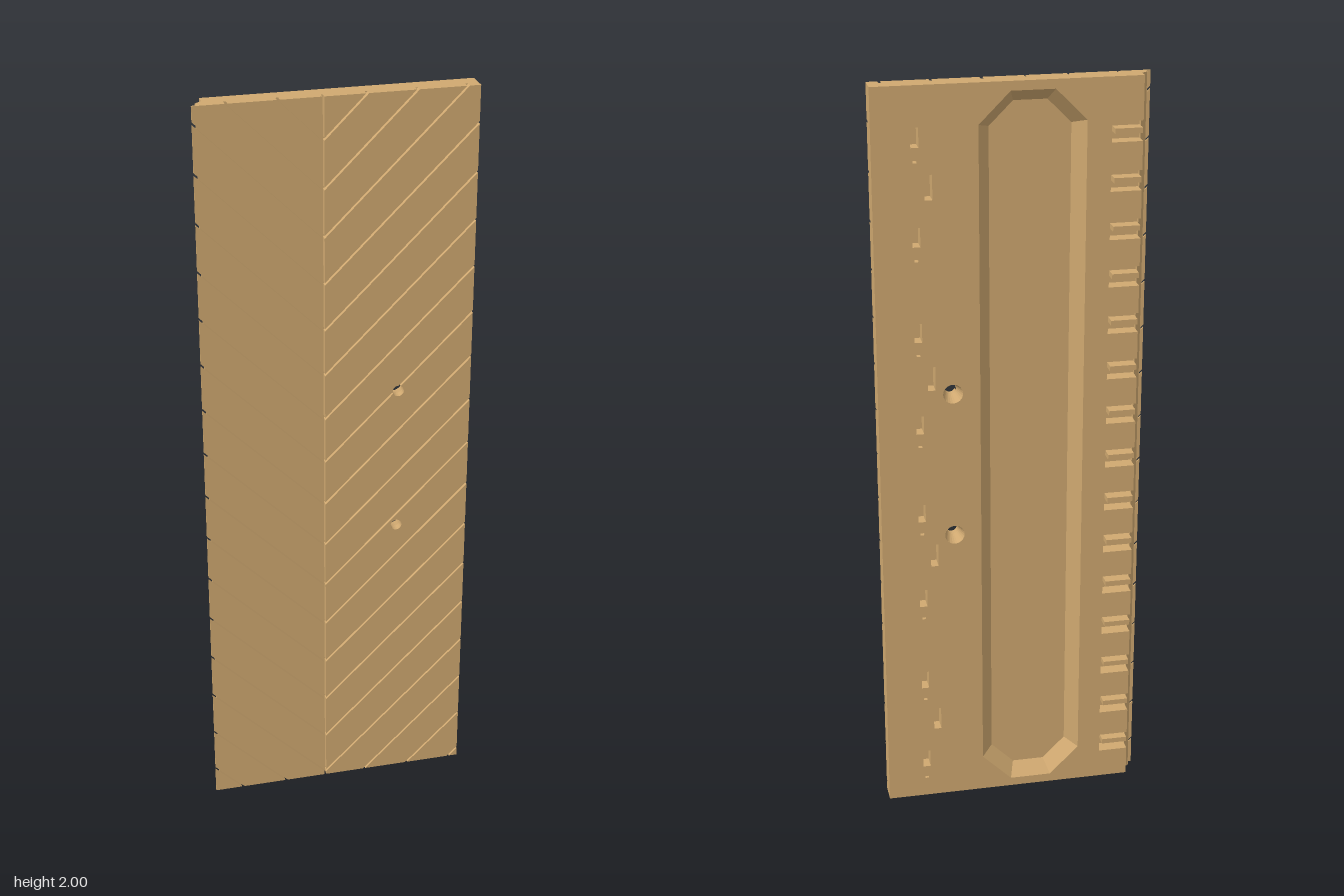
import * as THREE from 'three';

const HW = 0.354, H = 2, MID = -0.037;      // half width, height, centre groove
const PITCH = 0.1253, TOP = 1.891;          // chevron spacing and highest meeting point
const Z_BACK = -0.03, Z_FLOOR = 0.008, Z_GROOVE = 0.011, Z_LIP = 0.024, Z_FRONT = 0.028;
const SCREWS = [[0.16, 1.2], [0.16, 0.8]], SCREW_R = 0.015;

const rect = (x0, y0, x1, y1) => [[x0, y0], [x1, y0], [x1, y1], [x0, y1]];
const circle = (cx, cy, r, n = 24) => Array.from({ length: n }, (_, i) => {
  const a = (i / n) * Math.PI * 2;
  return [cx + r * Math.cos(a), cy + r * Math.sin(a)];
});
const octagon = (cx, cy, hw, hh, c) => [
  [hw, -hh + c], [hw, hh - c], [hw - c, hh], [c - hw, hh],
  [-hw, hh - c], [-hw, c - hh], [c - hw, -hh], [hw - c, -hh],
].map(([x, y]) => [cx + x, cy + y]);
const toVec = (pts) => pts.map(([x, y]) => new THREE.Vector2(x, y));

// Flat plate between two depths, with optional holes
function plate(outline, z0, z1, holes = []) {
  const shape = new THREE.Shape(toVec(outline));
  shape.holes = holes.map((h) => new THREE.Path(toVec(h)));
  return new THREE.ExtrudeGeometry(shape, { depth: z1 - z0, bevelEnabled: false }).translate(0, 0, z0);
}

// Inward-facing sloping wall between a loop at the back and a loop further in
function funnel(outer, inner, z0, z1) {
  const pos = [];
  outer.forEach((a, i) => {
    const j = (i + 1) % outer.length;
    const b = outer[j], c = inner[i], d = inner[j];
    pos.push(...a, z0, ...c, z1, ...b, z0, ...b, z0, ...c, z1, ...d, z1);
  });
  const g = new THREE.BufferGeometry();
  g.setAttribute('position', new THREE.Float32BufferAttribute(pos, 3));
  g.computeVertexNormals();
  return g;
}

// Keep the part of a polygon where f >= 0
function clip(poly, f) {
  const out = [];
  poly.forEach((p, i) => {
    const q = poly[(i + 1) % poly.length], a = f(p), b = f(q);
    if (a >= 0) out.push(p);
    if ((a >= 0) !== (b >= 0)) {
      const t = a / (a - b);
      out.push([p[0] + (q[0] - p[0]) * t, p[1] + (q[1] - p[1]) * t]);
    }
  });
  return out;
}

// Cut a round hole from a counter-clockwise polygon, even where it crosses an edge
function drill(poly, [cx, cy], r, holes) {
  const out = [];
  let inside = true;
  poly.forEach((p, i) => {
    const q = poly[(i + 1) % poly.length];
    const len = Math.hypot(q[0] - p[0], q[1] - p[1]);
    out.push(p);
    if (len < 1e-6) return;
    const ux = (q[0] - p[0]) / len, uy = (q[1] - p[1]) / len;
    const along = (cx - p[0]) * ux + (cy - p[1]) * uy;
    const dist = ux * (cy - p[1]) - uy * (cx - p[0]);
    if (dist < r) inside = false;
    if (Math.abs(dist) >= r) return;
    const h = Math.sqrt(r * r - dist * dist);
    if (along - h <= 0 || along + h >= len) return;
    const theta = Math.atan2(uy, ux);
    const a1 = theta + Math.atan2(-dist, -h);
    let a2 = theta + Math.atan2(-dist, h);
    while (a2 > a1) a2 -= Math.PI * 2;
    for (let k = 0; k <= 12; k++) {
      const a = a1 + (a2 - a1) * (k / 12);
      out.push([cx + r * Math.cos(a), cy + r * Math.sin(a)]);
    }
  });
  if (inside) holes.push(circle(cx, cy, r));
  return out;
}

export function createModel() {
  const model = new THREE.Group();
  model.name = 'chevronPanel';
  const wood = new THREE.MeshStandardMaterial({ color: 0xcfa870 });
  wood.name = 'light wood';
  const add = (name, geometry, parent = model) => {
    const m = new THREE.Mesh(geometry, wood);
    m.name = name;
    parent.add(m);
    return m;
  };

  // Pocket and countersinks in the back
  const pocketOuter = octagon(-0.047, 1, 0.136, 0.976, 0.08);
  const pocketInner = octagon(-0.047, 1, 0.104, 0.944, 0.061);
  const backHoles = [pocketOuter];
  add('pocketWall', funnel(pocketOuter, pocketInner, Z_BACK, Z_FLOOR));
  for (const [x, y] of SCREWS) {
    backHoles.push(circle(x, y, 0.026));
    add('countersink', funnel(circle(x, y, 0.026), circle(x, y, SCREW_R), Z_BACK, Z_FLOOR));
  }

  // Small slots along the other edge of the back
  const slot = (x, y, w, h) => backHoles.push(rect(x - w / 2, y - h / 2, x + w / 2, y + h / 2));
  for (let i = 0; i < 8; i++) {
    const y = 1.872 - i * 2 * PITCH;
    slot(0.247, y, 0.02, 0.05);
    slot(0.247, y - 0.06, 0.01, 0.006);
    if (i % 2 === 0) slot(0.215, y - PITCH, 0.02, 0.064);
  }

  // Back slab with clip notches open to the side
  const outline = [[HW, 0], [HW, H], [-0.325, H]];
  const ribs = new THREE.Group();
  ribs.name = 'notchRibs';
  model.add(ribs);
  for (let i = 0; i < 15; i++) {
    const y = 1.862 - i * PITCH;
    outline.push([-0.325, y + 0.026], [-0.245, y + 0.026], [-0.245, y - 0.026], [-0.325, y - 0.026]);
    add('notchRib', new THREE.BoxGeometry(0.07, 0.014, 0.033), ribs).position.set(-0.29, y, -0.0085);
  }
  outline.push([-0.325, 0]);
  add('backSlab', plate(outline, Z_BACK, Z_FLOOR, backHoles));

  // Sloping shoulder along one side
  const shoulder = plate([[-0.325, 0.005], [-0.342, -0.009], [-0.325, -0.009]], 0, H);
  add('sideShoulder', shoulder.rotateX(-Math.PI / 2));

  // Thin core that forms the pocket floor and groove bottoms
  add('core', plate(rect(-0.342, 0, HW, H), Z_FLOOR, Z_GROOVE,
    SCREWS.map(([x, y]) => circle(x, y, SCREW_R))));

  // Diagonal planks, rising outward from the centre groove
  const planks = new THREE.Group();
  planks.name = 'planks';
  model.add(planks);
  const gap = 0.0035;
  function plank(s, x0, x1, k, z0, z1) {
    const high = TOP - (k - 1) * PITCH - gap, low = TOP - k * PITCH + gap;
    const rise = ([x, y]) => y - s * (x - MID);
    let poly = clip(rect(x0, 0, x1, H), (p) => rise(p) - low);
    poly = clip(poly, (p) => high - rise(p));
    if (poly.length < 3) return;
    const holes = [];
    for (const c of SCREWS) poly = drill(poly, c, SCREW_R, holes);
    add('plank', plate(poly, z0, z1, holes), planks);
  }
  for (let k = -1; k <= 19; k++) {
    plank(1, MID + 0.0025, HW, k, Z_GROOVE, Z_FRONT);
    plank(-1, -0.342, MID - 0.0025, k, Z_GROOVE, Z_LIP);
    plank(-1, -HW, MID - 0.0025, k, Z_LIP, Z_FRONT);
  }
  return model;
}
